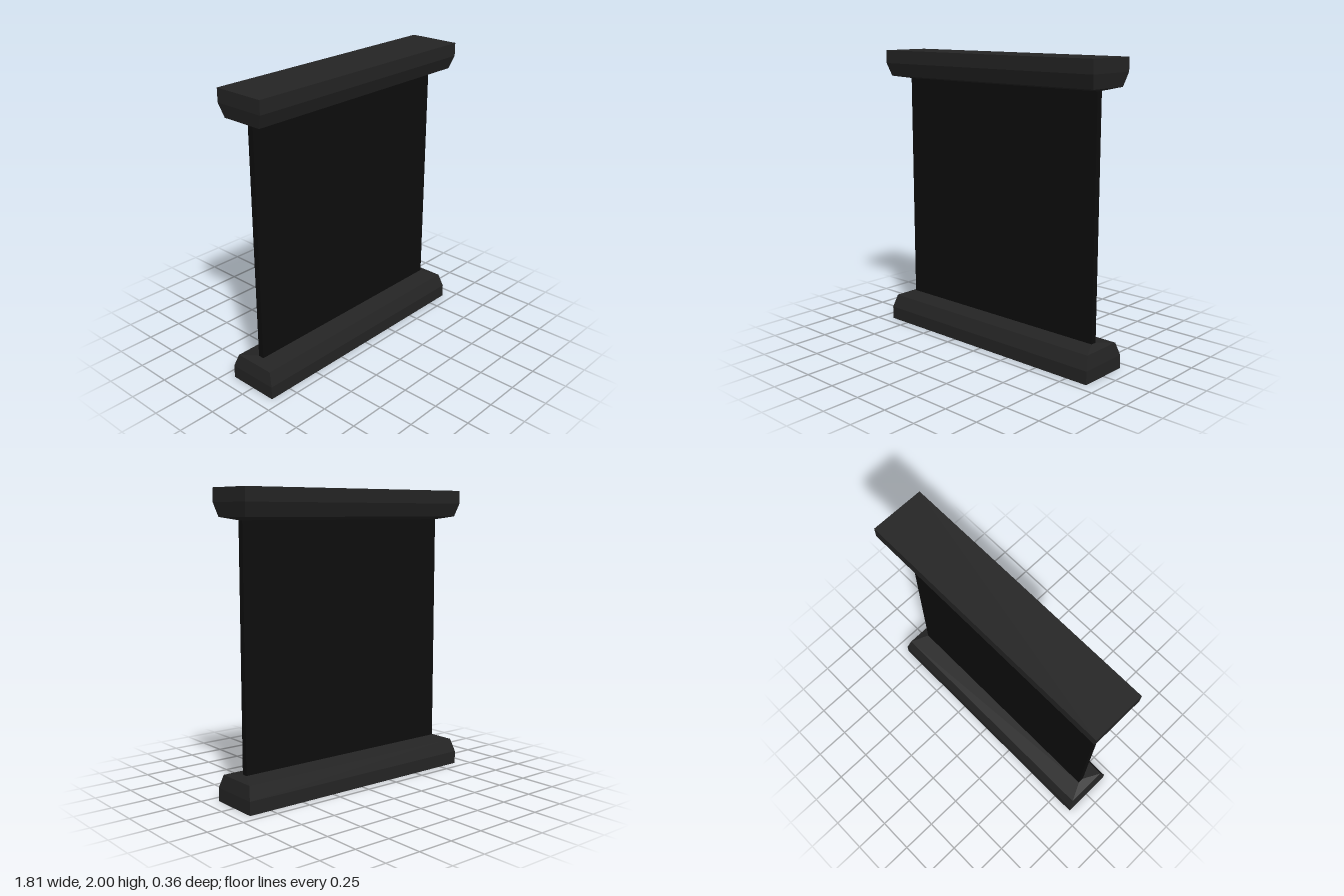
import * as THREE from 'three';

// Stack of centred rectangles [y, halfX, halfZ], skinned and capped at both ends
function loftRects(sections) {
  const positions = [];
  const index = [];
  for (const [y, hx, hz] of sections) {
    positions.push(-hx, y, hz, hx, y, hz, hx, y, -hz, -hx, y, -hz);
  }
  for (let s = 0; s < sections.length - 1; s++) {
    for (let i = 0; i < 4; i++) {
      const a = s * 4 + i;
      const b = s * 4 + (i + 1) % 4;
      index.push(a, b, b + 4, a, b + 4, a + 4);
    }
  }
  const t = (sections.length - 1) * 4;
  index.push(0, 2, 1, 0, 3, 2, t, t + 1, t + 2, t, t + 2, t + 3);
  const geometry = new THREE.BufferGeometry();
  geometry.setAttribute('position', new THREE.Float32BufferAttribute(positions, 3));
  geometry.setIndex(index);
  const flat = geometry.toNonIndexed();
  flat.computeVertexNormals();
  return flat;
}

export function createModel() {
  const group = new THREE.Group();
  const railMaterial = new THREE.MeshStandardMaterial({ color: 0x242424, flatShading: true });
  const panelMaterial = new THREE.MeshStandardMaterial({ color: 0x0d0d0d, flatShading: true });

  // Bevelled rails: the upper one is the lower one turned over
  const railGeometry = loftRects([
    [0, 0.907, 0.182],
    [0.09, 0.907, 0.182],
    [0.18, 0.888, 0.149],
    [0.2, 0.825, 0.021],
  ]);
  const bottomRail = new THREE.Mesh(railGeometry, railMaterial);
  bottomRail.name = 'bottomRail';
  const topRail = new THREE.Mesh(railGeometry, railMaterial);
  topRail.name = 'topRail';
  topRail.position.y = 2;
  topRail.rotation.x = Math.PI;

  // Thin panel between the rails
  const panel = new THREE.Mesh(new THREE.BoxGeometry(1.65, 1.6, 0.042), panelMaterial);
  panel.name = 'panel';
  panel.position.y = 1;

  group.add(bottomRail, topRail, panel);
  return group;
}
